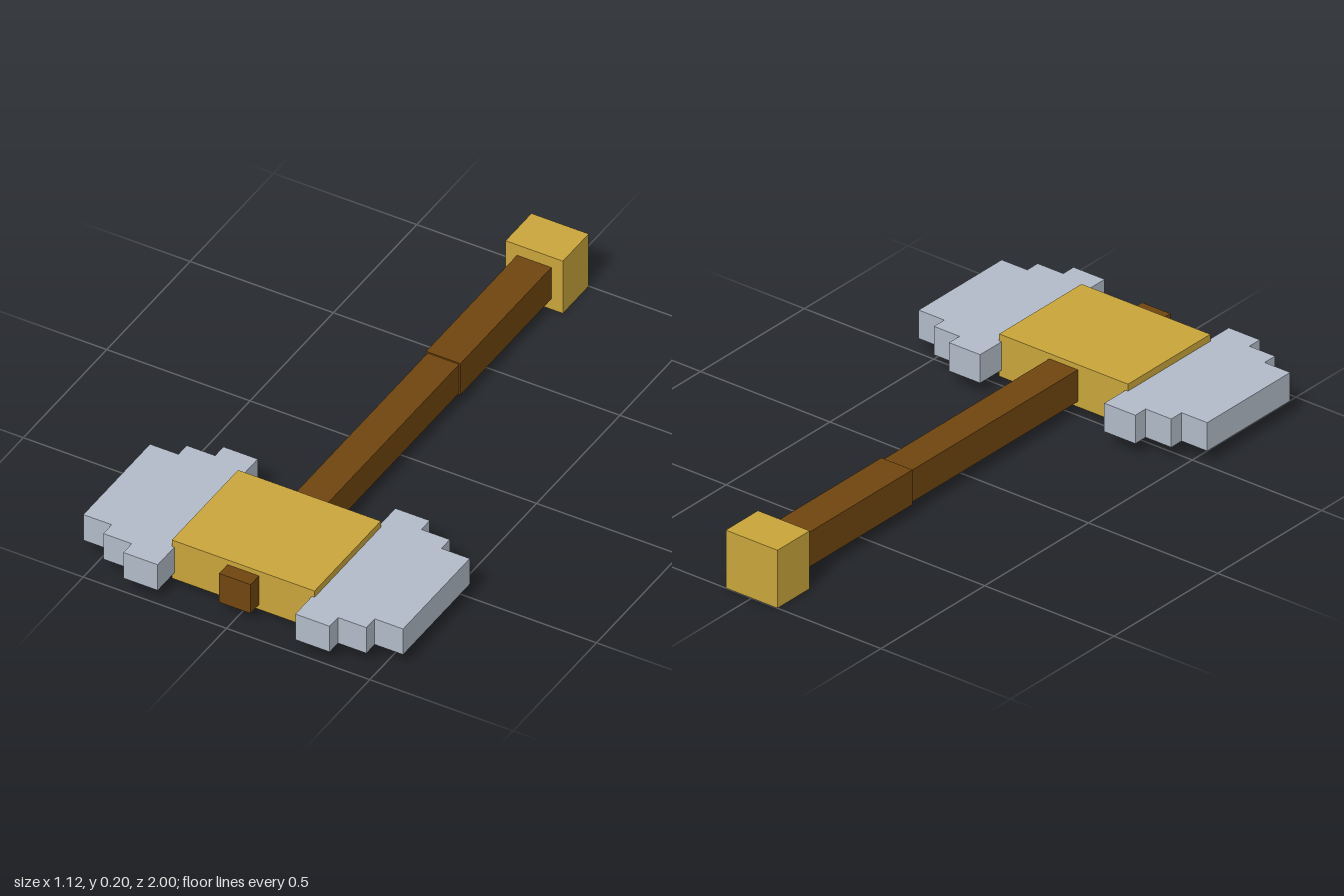
import * as THREE from 'three';

const material = (name, color) => {
  const m = new THREE.MeshStandardMaterial({ color });
  m.name = name;
  return m;
};

export function createModel() {
  const gold = material('gold', 0xc9a53b);
  const steel = material('steel', 0xb1bbc8);
  const wood = material('wood', 0x70450f);

  const midY = 0.1;
  const headZ = 0.7;
  const group = new THREE.Group();
  group.name = 'doubleAxe';

  // Box centred on the shaft axis, spanning z0 to z1
  const block = (name, mat, width, height, z0, z1) => {
    const mesh = new THREE.Mesh(new THREE.BoxGeometry(width, height, z1 - z0), mat);
    mesh.name = name;
    mesh.position.set(0, midY, (z0 + z1) / 2);
    group.add(mesh);
  };

  block('shaft', wood, 0.11, 0.11, -0.3, 0.95);
  block('grip', wood, 0.12, 0.12, -0.85, -0.3);
  block('pommel', gold, 0.2, 0.2, -1, -0.845);
  block('headBlock', gold, 0.498, 0.146, 0.503, 0.9);

  // Stepped blade: each step is [outer x, half length along z]
  const steps = [[0.36, 0.3], [0.459, 0.25], [0.558, 0.2]];
  const innerX = 0.24;
  const outline = [];
  let x = innerX;
  for (const [outer, half] of steps) {
    outline.push(new THREE.Vector2(x, -half), new THREE.Vector2(outer, -half));
    x = outer;
  }
  const mirrored = outline.map((p) => new THREE.Vector2(p.x, -p.y)).reverse();
  const thickness = 0.098;
  const bladeGeometry = new THREE.ExtrudeGeometry(
    new THREE.Shape([...outline, ...mirrored]),
    { depth: thickness, bevelEnabled: false }
  );
  bladeGeometry.translate(0, 0, -thickness / 2).rotateX(Math.PI / 2);

  // The right blade is the left one turned half round
  for (const [name, turn] of [['leftBlade', 0], ['rightBlade', Math.PI]]) {
    const blade = new THREE.Mesh(bladeGeometry, steel);
    blade.name = name;
    blade.position.set(0, midY, headZ);
    blade.rotation.y = turn;
    group.add(blade);
  }

  return group;
}
